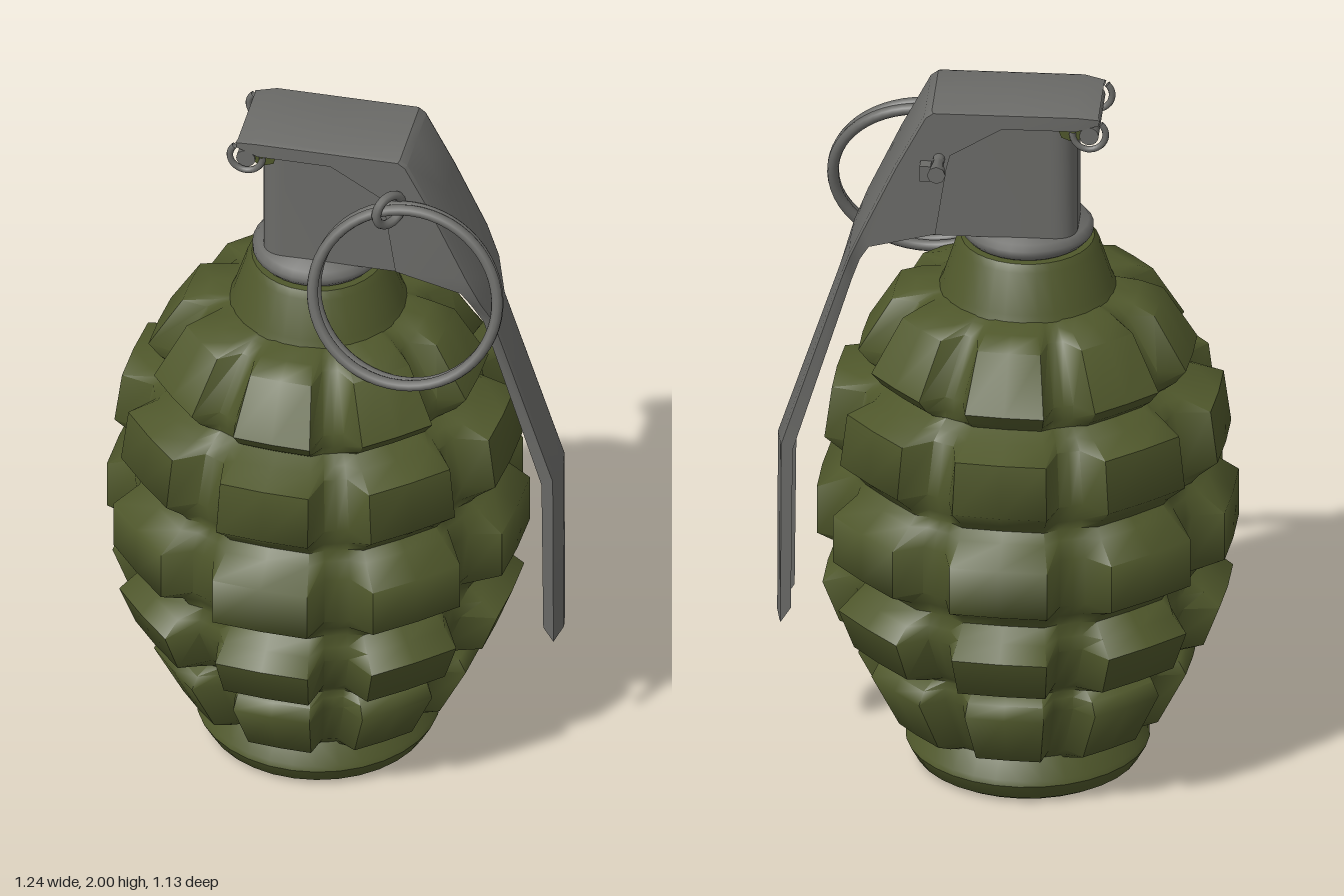
import * as THREE from 'three';
import { toCreasedNormals } from 'three/addons/utils/BufferGeometryUtils.js';

const CX = -0.06; // axis of the body

// Skin a surface over rows of points; closed rows wrap around.
function skin(rows, closed, crease) {
  const n = rows[0].length, index = [];
  for (let i = 0; i < rows.length - 1; i++) {
    for (let j = 0; j < (closed ? n : n - 1); j++) {
      const k = (j + 1) % n;
      const a = i * n + j, b = i * n + k, c = (i + 1) * n + k, d = (i + 1) * n + j;
      index.push(a, b, c, a, c, d);
    }
  }
  const g = new THREE.BufferGeometry();
  g.setAttribute('position', new THREE.Float32BufferAttribute(rows.flat(2), 3));
  g.setIndex(index);
  return toCreasedNormals(g, crease);
}

export function createModel() {
  const group = new THREE.Group();
  const green = new THREE.MeshStandardMaterial({ color: 0x4f572b });
  green.name = 'olive green';
  const grey = new THREE.MeshStandardMaterial({ color: 0x6b6b68, side: THREE.DoubleSide });
  grey.name = 'metal grey';

  const add = (name, geometry, material, x = 0, y = 0, z = 0) => {
    const m = new THREE.Mesh(geometry, material);
    m.name = name;
    m.position.set(x, y, z);
    group.add(m);
    return m;
  };
  const lathe = (points, crease = 0.6) => toCreasedNormals(
    new THREE.LatheGeometry(points.map(p => new THREE.Vector2(...p)), 32), crease);

  // Segmented body: height, radius on the blocks, radius in the upright grooves
  const profile = [
    [0.12, 0.28, 0.28], [0.135, 0.32, 0.29], [0.16, 0.37, 0.315], [0.32, 0.45, 0.39],
    [0.355, 0.43, 0.39], [0.375, 0.39, 0.385], [0.39, 0.43, 0.395], [0.42, 0.5, 0.42],
    [0.54, 0.545, 0.47], [0.58, 0.5, 0.465], [0.615, 0.46, 0.455], [0.645, 0.48, 0.465],
    [0.69, 0.56, 0.495], [0.83, 0.56, 0.495], [0.88, 0.49, 0.475], [0.905, 0.465, 0.46],
    [0.93, 0.485, 0.465], [0.98, 0.54, 0.475], [1.13, 0.52, 0.445], [1.155, 0.44, 0.415],
    [1.175, 0.39, 0.385], [1.2, 0.42, 0.39], [1.24, 0.45, 0.39], [1.39, 0.36, 0.3],
    [1.415, 0.3, 0.26], [1.425, 0.22, 0.22],
  ];
  const columns = [-22.5, -18.5, -13.5, 0, 13.5, 18.5];
  const rows = profile.map(([y, outer, core]) => {
    const row = [];
    for (let lobe = 0; lobe < 8; lobe++) {
      for (const t of columns) {
        const a = (lobe * 45 + t - 4) * Math.PI / 180;
        const r = Math.abs(t) > 14 ? core : (t === 0 ? outer : outer * 1.02);
        row.push([r * Math.sin(a), y, r * Math.cos(a)]);
      }
    }
    return row;
  });
  add('body', skin(rows, true, 1.1), green, CX);

  // Foot and neck
  add('base', lathe([[0, 0], [0.28, 0], [0.305, 0.015], [0.33, 0.06], [0.325, 0.075],
    [0.285, 0.13], [0, 0.13]]), green, CX);
  add('neck', lathe([[0.26, 1.38], [0.23, 1.44], [0.195, 1.55], [0.18, 1.57], [0, 1.57]]), green, CX);

  // Fuze collar and head
  add('collar', lathe([[0.15, 1.565], [0.165, 1.575], [0.178, 1.59], [0.178, 1.605],
    [0.165, 1.62], [0, 1.625]], 1), grey, CX);
  const plan = new THREE.Shape();
  const x0 = -0.2, x1 = 0.2, h = 0.115, r = 0.07;
  plan.moveTo(x0 + r, -h);
  plan.lineTo(x1, -h);
  plan.lineTo(x1, h);
  plan.lineTo(x0 + r, h);
  plan.quadraticCurveTo(x0, h, x0, h - r);
  plan.lineTo(x0, r - h);
  plan.quadraticCurveTo(x0, -h, x0 + r, -h);
  const head = new THREE.ExtrudeGeometry(plan, { depth: 0.36, bevelEnabled: false, curveSegments: 8 });
  head.rotateX(-Math.PI / 2);
  add('fuzeHead', toCreasedNormals(head, 0.6), grey, 0, 1.62, -0.007);

  // Lever, a folded channel: outer x, y, flange edge x, y, half width, crown
  const stations = [
    [-0.26, 1.99, -0.26, 1.97, 0.12, 0], [-0.2, 2, -0.2, 1.955, 0.13, 0],
    [-0.02, 2, 0.0, 1.955, 0.13, 0], [0.19, 2, 0.14, 1.87, 0.13, 0],
    [0.21, 1.985, 0.15, 1.83, 0.13, 0], [0.29, 1.83, 0.18, 1.63, 0.13, 0],
    [0.38, 1.635, 0.36, 1.585, 0.13, 0], [0.415, 1.55, 0.385, 1.54, 0.115, 0.003],
    [0.44, 1.465, 0.41, 1.455, 0.07, 0.006], [0.605, 0.95, 0.57, 0.93, 0.07, 0.01],
    [0.607, 0.41, 0.575, 0.45, 0.07, 0.01],
  ];
  add('lever', skin(stations.map(([x, y, fx, fy, w, crown]) => [
    [fx, fy, w], [x - 0.004, y - 0.004, w], [x, y, w - 0.012], [x + crown, y, 0],
    [x, y, 0.012 - w], [x - 0.004, y - 0.004, -w], [fx, fy, -w],
  ]), false, 0.5), grey, 0, 0, -0.007);

  // Hinge: cross pin, curled hooks and a painted lug on each side
  const hinge = new THREE.CylinderGeometry(0.026, 0.026, 0.25, 16);
  hinge.rotateX(Math.PI / 2);
  add('hingePin', hinge, grey, -0.235, 1.94, -0.007);
  const lug = new THREE.Shape([[-0.25, 1.985], [-0.2, 1.915], [-0.16, 1.93], [-0.14, 1.985]]
    .map(p => new THREE.Vector2(...p)));
  for (const side of [-1, 1]) {
    const hook = add('hingeHook', new THREE.TorusGeometry(0.045, 0.009, 8, 20, Math.PI * 1.3),
      grey, -0.235, 1.943, side * 0.118 - 0.007);
    hook.rotation.z = Math.PI * 0.75;
    add('hingeLug', new THREE.ExtrudeGeometry(lug, { depth: 0.02, bevelEnabled: false }),
      green, 0, 0, side * 0.108 - 0.017);
  }

  // Safety pin with its eye and spread ends
  const pin = new THREE.CylinderGeometry(0.016, 0.016, 0.3, 12);
  pin.rotateX(Math.PI / 2);
  add('safetyPin', pin, grey, 0.17, 1.86, -0.02);
  const eye = add('pinEye', new THREE.TorusGeometry(0.045, 0.013, 8, 24), grey, 0.17, 1.86, 0.155);
  eye.rotation.y = 0.9;
  const tail = new THREE.CylinderGeometry(0.028, 0.014, 0.09, 8);
  tail.rotateX(-Math.PI / 2);
  tail.scale(0.9, 0.9, 1);
  add('pinTail', tail, grey, 0.17, 1.862, -0.196);
  add('pinStub', new THREE.BoxGeometry(0.03, 0.045, 0.04), grey, 0.205, 1.83, -0.152);

  // Pull ring, two loops side by side
  const pullRing = new THREE.Group();
  pullRing.name = 'pullRing';
  for (const side of [-1, 1]) {
    const loop = new THREE.Mesh(new THREE.TorusGeometry(0.253, 0.0155, 10, 56), grey);
    loop.name = 'ringLoop';
    loop.position.z = side * 0.013;
    loop.rotation.y = side * 0.03;
    pullRing.add(loop);
  }
  pullRing.position.set(0.23, 1.627, 0.22);
  pullRing.rotation.x = -0.28;
  group.add(pullRing);

  return group;
}
